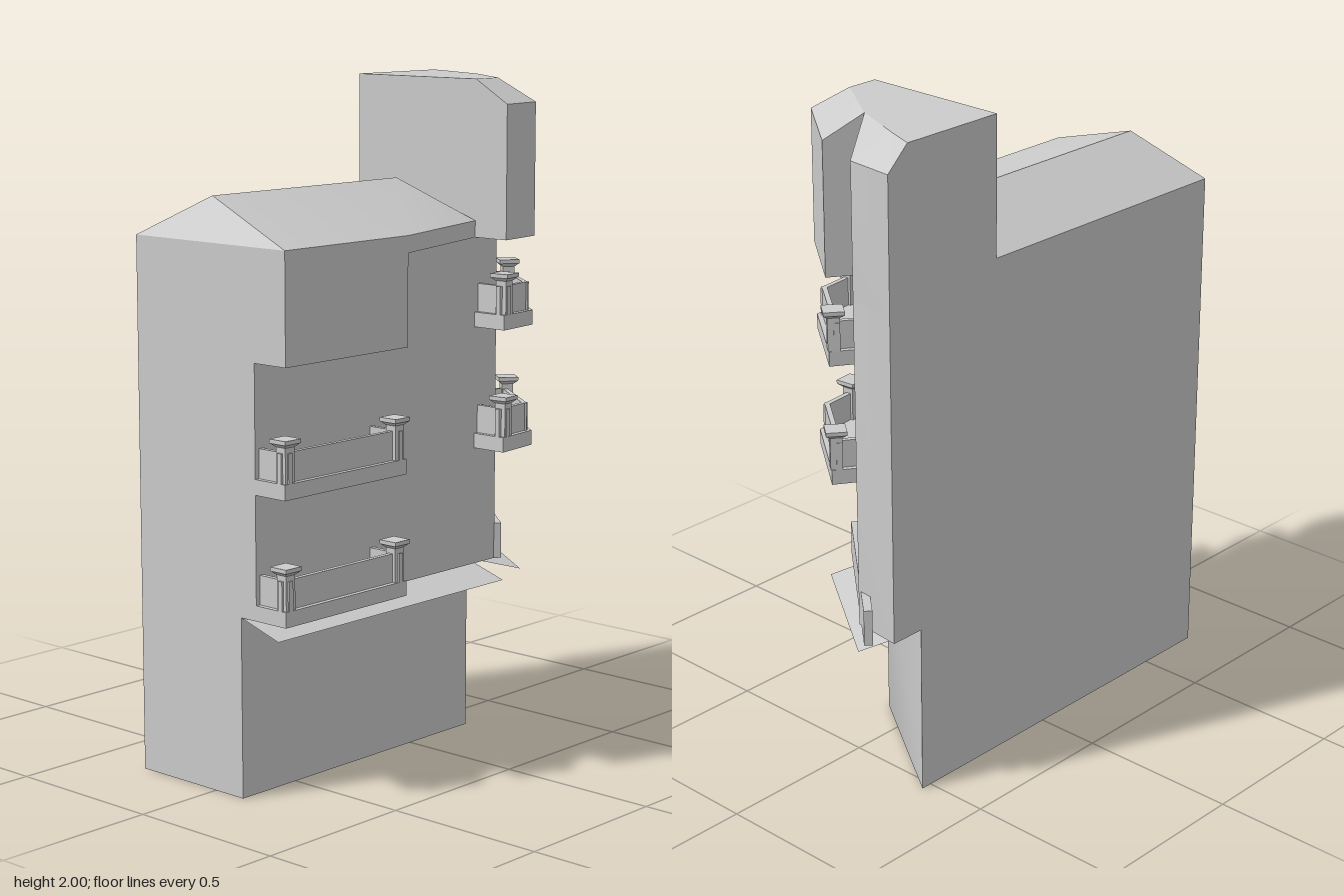
import * as THREE from 'three';
import { toCreasedNormals } from 'three/addons/utils/BufferGeometryUtils.js';

const material = new THREE.MeshStandardMaterial({ color: 0xcccccc, side: THREE.DoubleSide });

function mesh(name, geometry, crease = 0.3) {
  const m = new THREE.Mesh(toCreasedNormals(geometry, crease), material);
  m.name = name;
  return m;
}

// Solid with an [x, z] footprint between two heights
function prism(name, plan, y0, y1, crease) {
  const shape = new THREE.Shape(plan.map(([x, z]) => new THREE.Vector2(x, -z)));
  const g = new THREE.ExtrudeGeometry(shape, { depth: y1 - y0, bevelEnabled: false });
  g.rotateX(-Math.PI / 2).translate(0, y0, 0);
  return mesh(name, g, crease);
}

// Flat convex polygons, each fanned into triangles
function faces(name, polygons, crease) {
  const pos = [];
  for (const p of polygons) {
    for (let i = 1; i < p.length - 1; i++) pos.push(...p[0], ...p[i], ...p[i + 1]);
  }
  const g = new THREE.BufferGeometry();
  g.setAttribute('position', new THREE.Float32BufferAttribute(pos, 3));
  return mesh(name, g, crease);
}

// Surface between two rings of [x, z] points, clockwise from above
function band(lower, upper, y0, y1) {
  return lower.map(([x, z], i) => {
    const j = (i + 1) % lower.length;
    return [[x, y0, z], [upper[i][0], y1, upper[i][1]],
      [upper[j][0], y1, upper[j][1]], [lower[j][0], y0, lower[j][1]]];
  });
}

// Upright board whose outer face runs from a to b
function board(name, a, b, y0, y1, thickness, inset = 0) {
  const dx = b[0] - a[0], dz = b[1] - a[1], len = Math.hypot(dx, dz);
  const m = mesh(name, new THREE.BoxGeometry(len, y1 - y0, thickness));
  const off = inset + thickness / 2;
  m.position.set((a[0] + b[0]) / 2 + (dz / len) * off, (y0 + y1) / 2, (a[1] + b[1]) / 2 - (dx / len) * off);
  m.rotation.y = Math.atan2(-dz, dx);
  return m;
}

// Slab, parapet along the outer path, and capped posts [x, z, turn]
function balcony(name, path, posts, y) {
  const g = new THREE.Group();
  g.name = name;
  g.add(prism('balconySlab', path, y, y + 0.045));
  for (let i = 0; i < path.length - 1; i++) {
    g.add(board('parapet', path[i], path[i + 1], y + 0.045, y + 0.13, 0.015, 0.015));
  }
  for (const [x, z, turn] of posts) {
    const post = new THREE.Group();
    post.name = 'post';
    const shaft = mesh('postShaft', new THREE.BoxGeometry(0.036, 0.105, 0.036));
    shaft.position.y = 0.0975;
    const neck = mesh('postCapNeck', new THREE.CylinderGeometry(0.042, 0.027, 0.01, 4).rotateY(Math.PI / 4));
    neck.position.y = 0.151;
    const cap = mesh('postCap', new THREE.BoxGeometry(0.062, 0.012, 0.062));
    cap.position.y = 0.162;
    post.add(shaft, neck, cap);
    post.position.set(x, y, z);
    post.rotation.y = turn;
    g.add(post);
  }
  return g;
}

export function createModel() {
  const model = new THREE.Group();
  model.name = 'cornerBuilding';
  const back = -0.3, left = -0.715, split = 0.22;

  // Ground floor walls, open underneath
  const ground = [[left, back], [0.535, back], [0.26, 0.11], [left, 0.11]];
  model.add(faces('groundFloor', band(ground, ground, 0, 0.53), 1.05));

  // Upper storeys with a curved corner
  const corner = [[0.645, back], [0.63, -0.145], [0.525, -0.08], [0.46, -0.03], [0.32, 0.17]];
  model.add(prism('upperWalls', [[left, back], ...corner, [left, 0.17]], 0.53, 1.53, 1.1));

  // Projecting block and eaves of the long wing
  model.add(prism('projectingBlock', [[left, 0.165], [-0.215, 0.165], [-0.215, 0.29], [left, 0.29]], 1.26, 1.53));
  const eaves = [[left, back], [split, back], [split, 0.17], [-0.215, 0.29], [left, 0.29]];
  model.add(prism('eaves', eaves, 1.53, 1.58));

  // Hipped roof of the long wing
  const [e0, e1, e2, e3, e4] = eaves.map(([x, z]) => [x, 1.58, z]);
  const ridgeL = [-0.635, 1.7, -0.07], ridgeR = [0.135, 1.7, -0.07];
  model.add(faces('wingRoof', [
    [e0, ridgeL, ridgeR, e1],
    [e1, ridgeR, e2],
    [e2, ridgeR, e3],
    [e3, ridgeR, ridgeL, e4],
    [e4, ridgeL, e0],
  ], 0.45));

  // Corner tower top and its bay window
  model.add(prism('towerTop', [[split, back], ...corner, [split, 0.17]], 1.53, 1.93, 1.1));
  const bay = [[0.46, -0.03], [0.56, 0.035], [0.375, 0.272], [split, 0.29]];
  model.add(prism('bayWindow', [...bay, [split, 0.16], [0.32, 0.16]], 1.53, 1.93));

  // Tower roof
  const low = [[split, back], ...corner.slice(0, 3), ...bay];
  const high = [[split, back], [0.57, back], [0.535, -0.21], [0.46, -0.03],
    [0.46, -0.03], [0.46, -0.03], [0.32, 0.17], [split, 0.17]];
  model.add(faces('towerRoof', [
    ...band(low, high, 1.93, 2),
    high.map(([x, z]) => [x, 2, z]).reverse(),
  ], 0.3));

  // Balconies on the wing and below the bay
  const wingPath = [[left, 0.165], [left, 0.285], [-0.215, 0.285], [-0.215, 0.165]];
  const wingPosts = [[-0.69, 0.262, 0], [-0.24, 0.262, 0]];
  for (const y of [0.53, 0.89]) model.add(balcony('wingBalcony', wingPath, wingPosts, y));
  const bayPath = [[split, 0.165], [split, 0.285], [0.375, 0.268], [0.555, 0.033], [0.46, -0.03]];
  const bayPosts = [[0.247, 0.262, 0.1], [0.53, 0.04, 0.91]];
  for (const y of [0.89, 1.26]) model.add(balcony('bayBalcony', bayPath, bayPosts, y));

  // Sloping awnings above the ground floor
  model.add(faces('frontAwning', [
    [[left, 0.53, 0.11], [left, 0.485, 0.255], [0.26, 0.485, 0.255], [0.26, 0.53, 0.11]],
  ]));
  model.add(faces('cornerAwning', [
    [[0.26, 0.53, 0.11], [0.41, 0.485, 0.2], [0.69, 0.485, -0.2], [0.535, 0.53, back]],
  ]));

  // Plain fascia board on the corner
  model.add(board('fasciaBoard', [0.335, 0.185], [0.71, -0.245], 0.53, 0.64, 0.025));

  return model;
}
